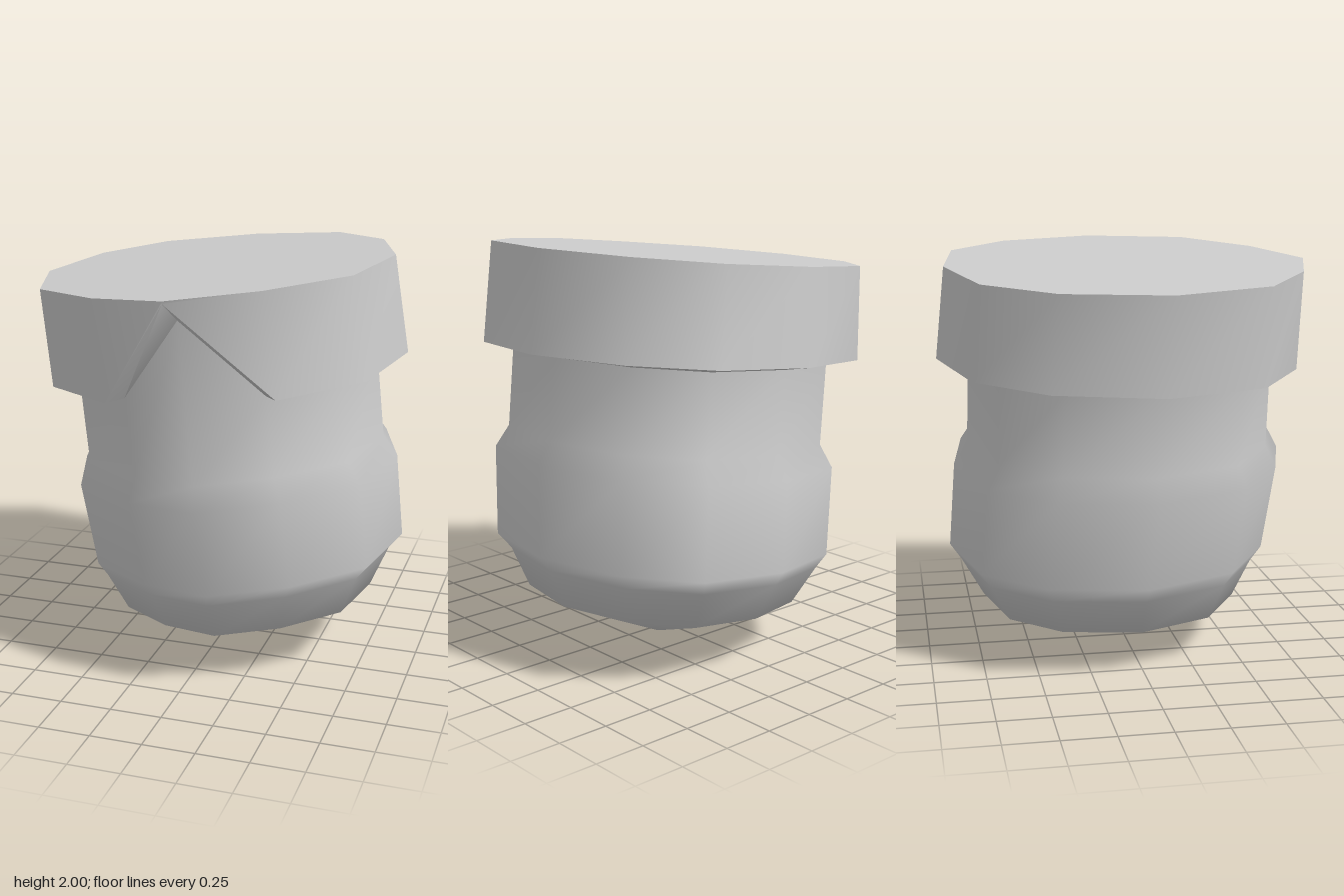
import * as THREE from 'three';
import { toCreasedNormals } from 'three/addons/utils/BufferGeometryUtils.js';

// Slightly uneven twelve-sided outline (x, z), starting at the front point
const OUTLINE = [
  [0.045, 0.91], [-0.325, 0.8], [-0.685, 0.55], [-0.855, 0.07], [-0.775, -0.43], [-0.525, -0.75],
  [-0.055, -0.885], [0.415, -0.82], [0.705, -0.53], [0.855, -0.06], [0.765, 0.44], [0.435, 0.74],
];
const N = OUTLINE.length;

// Leaning ring around (cx, cy, cz); tilts are the rise per unit of x and z
function ring(cx, cy, cz, scale, tiltX = 0.081, tiltZ = 0) {
  return OUTLINE.map(([x, z]) => {
    const dx = x * scale, dz = z * scale;
    return [cx + dx, cy + dx * tiltX + dz * tiltZ, cz + dz];
  });
}

// Skin the rings from top to bottom, with optional end points closing them
function loft(rings, topPoint, bottomPoint) {
  const points = rings.flat(), index = [];
  for (let r = 0; r < rings.length - 1; r++) {
    for (let i = 0; i < N; i++) {
      const j = (i + 1) % N;
      const a = r * N + i, c = r * N + j, b = a + N, d = c + N;
      index.push(a, c, d, a, d, b);
    }
  }
  const last = (rings.length - 1) * N;
  const fan = (point, flip, base) => {
    const tip = points.push(point) - 1;
    for (let i = 0; i < N; i++) {
      const j = (i + 1) % N;
      if (flip) index.push(tip, base + j, base + i);
      else index.push(tip, base + i, base + j);
    }
  };
  if (topPoint) fan(topPoint, true, 0);
  if (bottomPoint) fan(bottomPoint, false, last);
  const geometry = new THREE.BufferGeometry();
  geometry.setAttribute('position', new THREE.Float32BufferAttribute(points.flat(), 3));
  geometry.setIndex(index);
  geometry.computeVertexNormals();
  return geometry;
}

export function createModel() {
  const group = new THREE.Group();
  const material = new THREE.MeshStandardMaterial({ color: 0xcccccc, side: THREE.DoubleSide });
  const add = (name, geometry) => {
    const mesh = new THREE.Mesh(geometry, material);
    mesh.name = name;
    group.add(mesh);
  };

  // Neck edge under the cap, raised at the front to follow the notch
  const neckTop = ring(0.005, 1.44, -0.017, 0.86, 0.08, -0.01);
  neckTop[0] = [0.012, 1.81, 0.75];

  // Body: neck, bulging belly, and a shallow pointed bottom
  add('body', loft([
    neckTop,
    ring(0.043, 1.05, -0.022, 0.863),
    ring(0.053, 0.945, -0.027, 0.933),
    ring(0.1, 0.52, -0.068, 0.918),
    ring(0.09, 0.445, -0.07, 0.855),
    ring(0.1, 0.25, -0.06, 0.743),
  ], null, [0.1, 0, -0.05]));

  // Cap: tilted top, overhanging wall with a front notch, underside to the neck
  const capTop = ring(-0.045, 1.923, 0, 1, 0.0905);
  const capBottom = ring(0.01, 1.46, -0.025, 1.02, 0.08, -0.02);
  capBottom[0] = [0, 1.915, 0.908];
  add('cap', toCreasedNormals(loft([capTop, capBottom, neckTop], [-0.045, 1.923, 0]), 0.9));

  return group;
}
